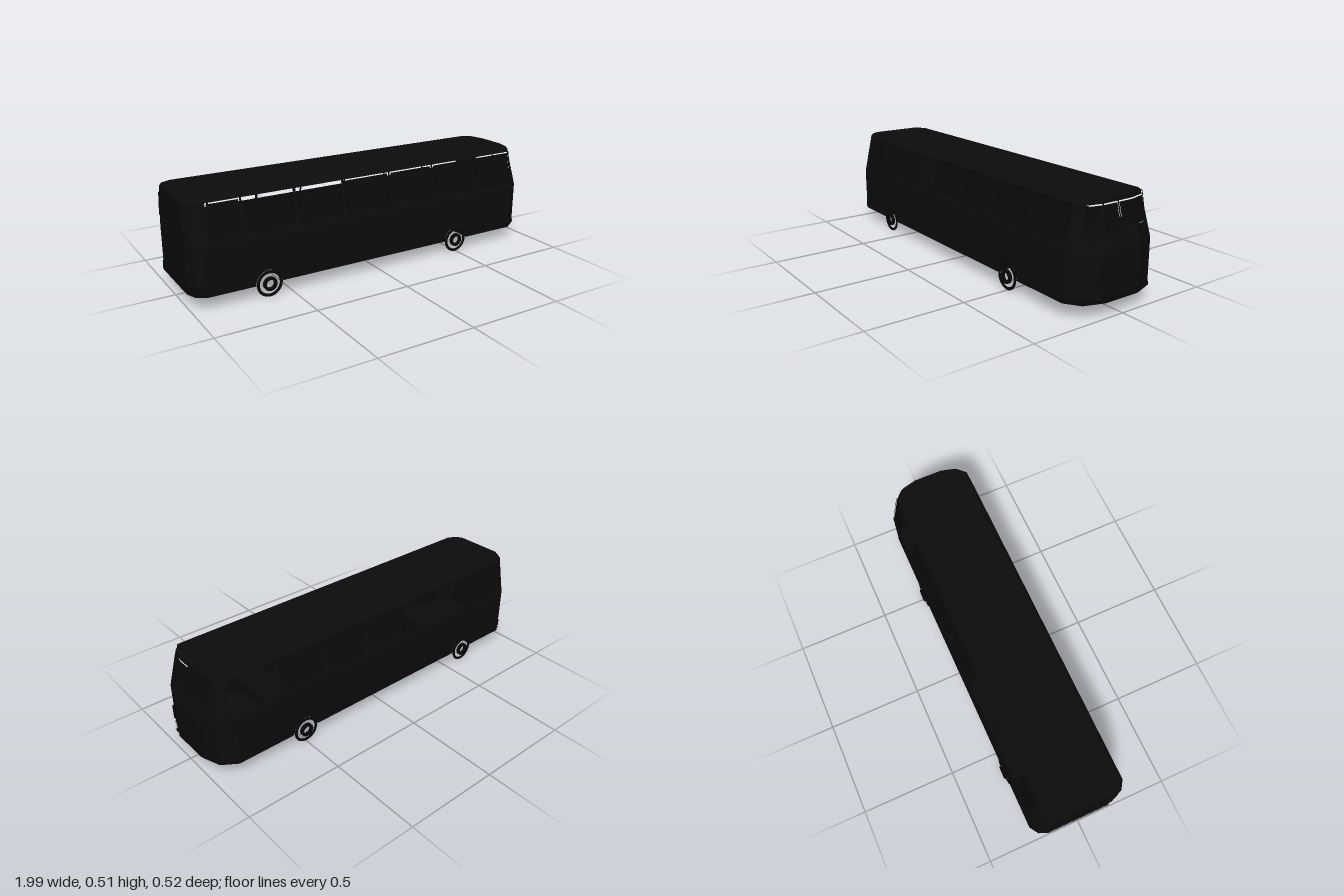
import * as THREE from 'three';

const paint = new THREE.MeshStandardMaterial({ color: 0x0c0c0c, side: THREE.DoubleSide });
paint.name = 'black paint';
const glass = new THREE.MeshStandardMaterial({ color: 0x0a0a0a });
glass.name = 'dark glass';
const trim = new THREE.MeshStandardMaterial({ color: 0x070707, side: THREE.DoubleSide });
trim.name = 'black trim';

const WHEELS = [-0.62, 0.495];
const AXLE = 0.067;
// plan outlines of the two ends as [x, z], anticlockwise seen from outside
const NOSE = [[0.88, 0.25], [0.955, 0.2], [0.99, 0.1], [0.99, -0.1], [0.955, -0.2], [0.88, -0.25]];
const TAIL = [[-0.93, -0.25], [-0.975, -0.22], [-0.996, -0.17], [-0.996, 0.17], [-0.975, 0.22], [-0.93, 0.25]];
const WINDOWS = [[-0.9, -0.735], [-0.725, -0.465], [-0.45, -0.2], [-0.19, 0.075], [0.085, 0.345], [0.355, 0.615], [0.627, 0.885]];

const lerp = THREE.MathUtils.lerp;
// half width of the body at height y: upright skirt, leaning windows, bevelled roof
function halfWidth(y) {
  if (y <= 0.3) return 0.25;
  if (y <= 0.503) return lerp(0.25, 0.203, (y - 0.3) / 0.203);
  return lerp(0.203, 0.186, (y - 0.503) / 0.012);
}
// puts a plan point on the body shell at height y
function place(x, z, y) {
  const lean = 0.05 * THREE.MathUtils.clamp((y - 0.3) / 0.2, 0, 1);
  const px = x > 0.88 ? x - ((x - 0.88) / 0.11) * lean : x;
  return [px, y, z * halfWidth(y) / 0.25];
}

function addMesh(group, name, geo, mat) {
  const mesh = new THREE.Mesh(geo, mat);
  mesh.name = name;
  group.add(mesh);
  return mesh;
}

// flat-shaded skin over a plan outline between given heights
function skin(outline, heights, put = place) {
  const pos = [];
  for (let i = 0; i < outline.length - 1; i++) {
    for (let j = 0; j < heights.length - 1; j++) {
      const [p, q] = [outline[i], outline[i + 1]];
      const a = put(...p, heights[j]), b = put(...q, heights[j]);
      const c = put(...q, heights[j + 1]), d = put(...p, heights[j + 1]);
      pos.push(...a, ...b, ...c, ...a, ...c, ...d);
    }
  }
  const geo = new THREE.BufferGeometry();
  geo.setAttribute('position', new THREE.Float32BufferAttribute(pos, 3));
  geo.computeVertexNormals();
  return geo;
}

// part of an end outline between two z values, running from z0 down to z1
function cut(outline, z0, z1) {
  const at = z => {
    for (let i = 0; i < outline.length - 1; i++) {
      const [p, q] = [outline[i], outline[i + 1]];
      if ((p[1] - z) * (q[1] - z) <= 0) return [lerp(p[0], q[0], (z - p[1]) / (q[1] - p[1])), z];
    }
  };
  const inside = outline.filter(p => (p[1] - z0) * (p[1] - z1) < 0);
  return [at(z0), ...inside, at(z1)];
}

// bends a flat x-y shape onto the left or right side wall
function onSide(shape, side, out = 0) {
  const geo = new THREE.ShapeGeometry(shape, 12);
  const pos = geo.attributes.position;
  for (let i = 0; i < pos.count; i++) {
    pos.setZ(i, side * (halfWidth(pos.getY(i)) + out));
  }
  if (side < 0) {
    const ix = geo.index.array;
    for (let i = 0; i < ix.length; i += 3) [ix[i], ix[i + 1]] = [ix[i + 1], ix[i]];
  }
  geo.computeVertexNormals();
  return geo;
}

function rect(x0, x1, y0, y1, Type = THREE.Shape) {
  return new Type([[x0, y0], [x1, y0], [x1, y1], [x0, y1]].map(p => new THREE.Vector2(...p)));
}

function addSide(bus, side) {
  // skirt with two round wheel arches
  const skirt = new THREE.Shape();
  skirt.moveTo(-0.93, 0.067);
  for (const x of WHEELS) {
    skirt.lineTo(x - 0.07, 0.067);
    skirt.absarc(x, AXLE, 0.07, Math.PI, 0, true);
  }
  skirt.lineTo(0.88, 0.067);
  skirt.lineTo(0.88, 0.3);
  skirt.lineTo(-0.93, 0.3);
  addMesh(bus, 'sideSkirt', onSide(skirt, side), paint);

  // window band with openings and panes
  const band = rect(-0.93, 0.89, 0.3, 0.503);
  WINDOWS.forEach(([a, b], i) => {
    band.holes.push(rect(a, b, 0.328, 0.5, THREE.Path));
    const open = i === 1 || i === 2 || (side < 0 && i === 6);
    if (!open) {
      addMesh(bus, 'sideWindow', onSide(rect(a + 0.006, b - 0.006, 0.335, 0.494), side), glass);
    }
  });
  addMesh(bus, 'windowBand', onSide(band, side), paint);

  // thin wheels: tyre ring and protruding hub ring
  for (const x of WHEELS) {
    const wheel = new THREE.Group();
    wheel.name = 'wheel';
    const ring = (name, r0, r1, z0, z1) => {
      const profile = [[r0, z0], [r1, z0], [r1, z1], [r0, z1], [r0, z0]].map(p => new THREE.Vector2(...p));
      addMesh(wheel, name, new THREE.LatheGeometry(profile, 32).rotateX(Math.PI / 2), trim);
    };
    ring('tyre', 0.053, 0.067, -0.002, 0.002);
    ring('hubRing', 0.021, 0.035, -0.002, 0.012);
    wheel.position.set(x, AXLE, side * 0.25);
    if (side < 0) wheel.rotation.y = Math.PI;
    bus.add(wheel);
  }
}

export function createModel() {
  const bus = new THREE.Group();
  bus.name = 'bus';
  for (const side of [1, -1]) addSide(bus, side);

  // tail wall, bumper and rear window
  addMesh(bus, 'tailWall', skin(TAIL, [0.067, 0.3, 0.503]), paint);
  const proud = (x, z, y) => place(x * 1.004, z * 1.004, y);
  addMesh(bus, 'rearBumper', skin(TAIL, [0.072, 0.11], proud), trim);
  addMesh(bus, 'rearWindow', skin(cut(TAIL, -0.19, 0.19), [0.36, 0.48], proud), glass);

  // nose wall around a split windscreen
  addMesh(bus, 'noseWall', skin(NOSE, [0.067, 0.3, 0.38]), paint);
  addMesh(bus, 'windscreenHeader', skin(NOSE, [0.498, 0.503]), paint);
  for (const [a, b] of [[0.25, 0.205], [0.005, -0.005], [-0.205, -0.25]]) {
    addMesh(bus, 'windscreenPost', skin(cut(NOSE, a, b), [0.38, 0.498]), paint);
  }
  for (const [a, b] of [[0.202, 0.008], [-0.008, -0.202]]) {
    addMesh(bus, 'windscreenPane', skin(cut(NOSE, a, b), [0.382, 0.492]), glass);
  }
  addMesh(bus, 'frontBumper', skin(NOSE, [0.072, 0.085], proud), trim);

  // headlamps and grille frame on the nose
  for (const s of [1, -1]) {
    addMesh(bus, 'headlamp', new THREE.BoxGeometry(0.02, 0.016, 0.042), trim).position.set(0.985, 0.098, s * 0.1);
    addMesh(bus, 'grilleEdge', new THREE.BoxGeometry(0.02, 0.07, 0.018), trim).position.set(0.985, 0.205, s * 0.118);
  }
  addMesh(bus, 'grilleTop', new THREE.BoxGeometry(0.008, 0.006, 0.24), trim).position.set(0.989, 0.24, 0);

  // roof: bevelled edge and flat top
  const ring = [...NOSE, ...TAIL, NOSE[0]];
  addMesh(bus, 'roofEdge', skin(ring, [0.503, 0.515]), paint);
  const top = new THREE.Shape(ring.slice(0, -1).map(([x, z]) => {
    const p = place(x, z, 0.515);
    return new THREE.Vector2(p[0], -p[2]);
  }));
  addMesh(bus, 'roof', new THREE.ShapeGeometry(top).rotateX(-Math.PI / 2).translate(0, 0.515, 0), paint);

  // floor stepping up over the wheel wells
  const steps = [[-0.93, 0.068]];
  for (const x of WHEELS) {
    steps.push([x - 0.075, 0.068], [x - 0.075, 0.14], [x + 0.075, 0.14], [x + 0.075, 0.068]);
  }
  steps.push([0.88, 0.068]);
  addMesh(bus, 'floor', skin(steps, [0.249, -0.249], (x, y, z) => [x, y, z]), paint);
  for (const end of [NOSE, TAIL]) {
    const plate = new THREE.Shape(end.map(([x, z]) => new THREE.Vector2(x, -z)));
    addMesh(bus, 'endFloor', new THREE.ShapeGeometry(plate).rotateX(-Math.PI / 2).translate(0, 0.068, 0), paint);
  }
  return bus;
}
